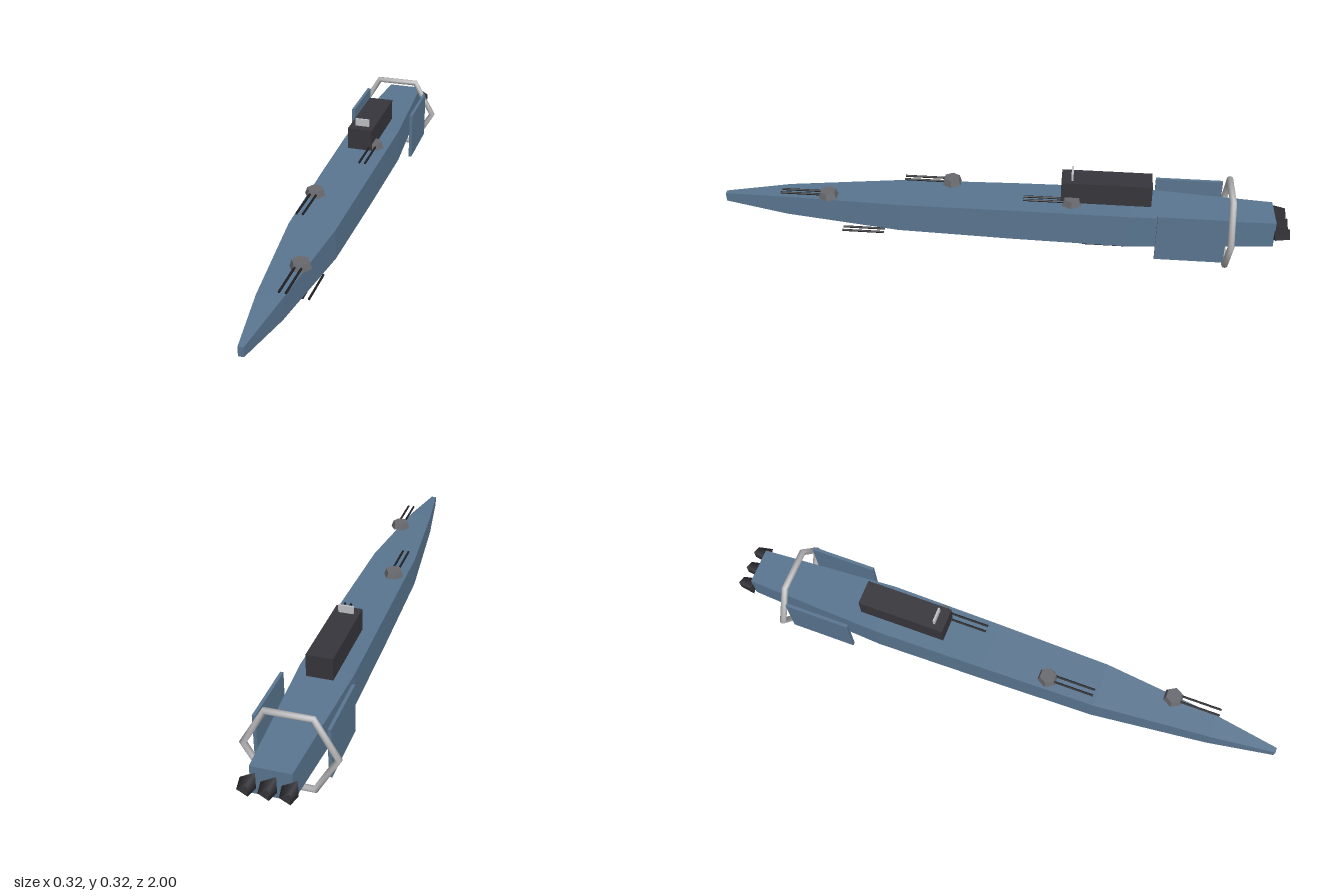
import * as THREE from 'three';

const mat = (name, color) => {
  const m = new THREE.MeshStandardMaterial({ color });
  m.name = name;
  return m;
};

export function createModel() {
  const blue = mat('hullBlue', 0x5a7691);
  const dark = mat('charcoal', 0x37363c);
  const silver = mat('silver', 0xb8b8ba);
  const grey = mat('turretGrey', 0x68696e);
  const black = mat('gunBlack', 0x202024);
  const pale = mat('paleGrey', 0xc2c4c7);

  const model = new THREE.Group();
  model.name = 'spaceship';
  const midY = 0.141;

  const add = (parent, name, geometry, material, x, y, z) => {
    const mesh = new THREE.Mesh(geometry, material);
    mesh.name = name;
    mesh.position.set(x, y, z);
    parent.add(mesh);
    return mesh;
  };
  const flat = (geometry) => {
    const g = geometry.toNonIndexed();
    g.computeVertexNormals();
    return g;
  };

  // Hull: a box cut into rings, each given its own z, half width and half height
  const stations = [
    [-0.95, 0.065, 0.049],
    [-0.45, 0.092, 0.0625],
    [-0.05, 0.087, 0.06],
    [0.36, 0.08, 0.054],
    [0.77, 0.041, 0.037],
    [1.0, 0.009, 0.016],
  ];
  const hull = new THREE.BoxGeometry(2, 2, 5, 1, 1, 5);
  const p = hull.attributes.position;
  for (let i = 0; i < p.count; i++) {
    const [z, w, h] = stations[Math.round(p.getZ(i) + 2.5)];
    p.setXYZ(i, p.getX(i) * w, p.getY(i) * h, z);
  }
  add(model, 'hull', flat(hull), blue, 0, midY, 0);

  // Side plates
  for (const s of [1, -1]) {
    add(model, 'sidePlate', new THREE.BoxGeometry(0.011, 0.177, 0.236), blue, s * 0.1175, 0.143, -0.66);
  }

  // Six-sided ring around the stern
  add(model, 'sternRing', new THREE.TorusGeometry(0.15, 0.0117, 12, 6), silver, 0, 0.14, -0.794);

  // Superstructure and the thin panel on its roof
  add(model, 'superstructure', new THREE.BoxGeometry(0.09, 0.079, 0.312), dark, 0, 0.2575, -0.366);
  add(model, 'roofPanel', new THREE.BoxGeometry(0.052, 0.028, 0.007), pale, 0, 0.31, -0.247);

  // Twin gun barrels running along z
  const barrels = (parent, x, y, zStart, zEnd) => {
    for (const s of [-1, 1]) {
      const g = new THREE.CylinderGeometry(0.004, 0.004, zEnd - zStart, 8).rotateX(Math.PI / 2);
      add(parent, 'barrel', g, black, x + s * 0.0107, y, (zStart + zEnd) / 2);
    }
  };

  // Deck turrets, alternating sides
  const turretShape = flat(new THREE.CylinderGeometry(0.029, 0.0365, 0.023, 6).rotateY(Math.PI / 6));
  for (const [x, y, z] of [[0.045, 0.206, 0.61], [-0.046, 0.2285, 0.18], [0.046, 0.2285, -0.248]]) {
    const turret = new THREE.Group();
    turret.name = 'turret';
    turret.position.set(x, y, z);
    add(turret, 'turretBase', turretShape, grey, 0, 0, 0);
    barrels(turret, 0, 0, 0.015, 0.168);
    model.add(turret);
  }

  // Keel guns, alternating sides
  for (const [x, z] of [[0.045, 0.495], [-0.046, 0.06], [0.045, -0.367]]) {
    const guns = new THREE.Group();
    guns.name = 'keelGuns';
    barrels(guns, x, 0.056, z - 0.075, z + 0.075);
    model.add(guns);
  }

  // Three-sided engine nozzles, narrowing aft, with one corner towards +x
  for (const x of [-0.064, 0, 0.064]) {
    const g = new THREE.CylinderGeometry(0.033, 0.022, 0.052, 3).rotateX(Math.PI / 2).rotateZ(Math.PI / 2);
    add(model, 'engineNozzle', g, dark, x, midY, -0.974);
  }

  return model;
}
